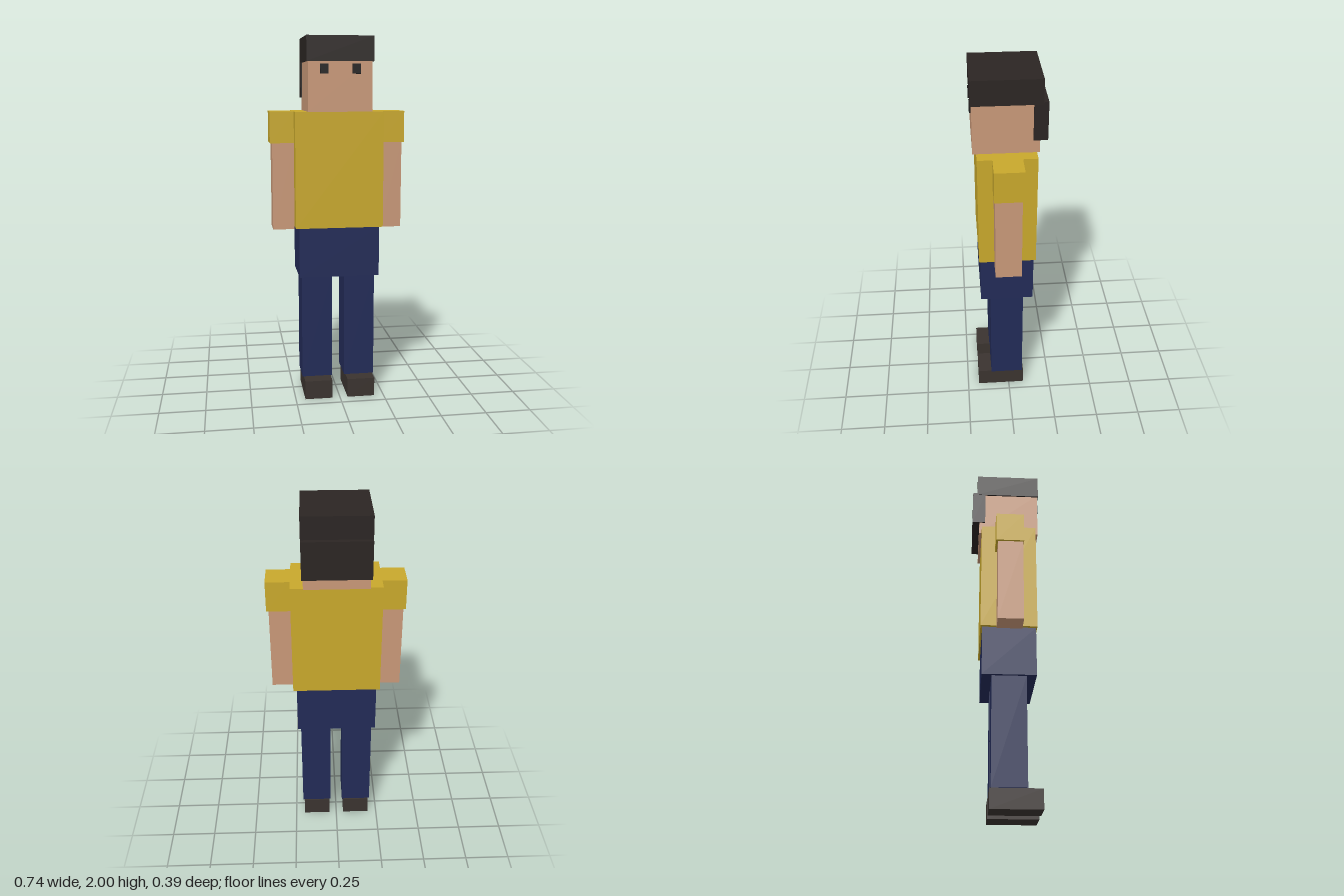
import * as THREE from 'three';

const material = (color) => new THREE.MeshStandardMaterial({ color });

export function createModel() {
  const model = new THREE.Group();
  model.name = 'blockFigure';

  const skin = material(0xc89878);
  const shirt = material(0xc8a82c);
  const trousers = material(0x222b57);
  const hair = material(0x2b2523);
  const shoe = material(0x3a332f);
  const eye = material(0x1c1a1a);

  // Box given by its [min, max] extents along each axis
  function block(name, mat, [x0, x1], [y0, y1], [z0, z1]) {
    const mesh = new THREE.Mesh(new THREE.BoxGeometry(x1 - x0, y1 - y0, z1 - z0), mat);
    mesh.position.set((x0 + x1) / 2, (y0 + y1) / 2, (z0 + z1) / 2);
    mesh.name = name;
    model.add(mesh);
  }

  // The same box on the left (+x) and right (-x) sides
  function pair(name, mat, [x0, x1], y, z) {
    block('left' + name, mat, [x0, x1], y, z);
    block('right' + name, mat, [-x1, -x0], y, z);
  }

  // Head and hair
  block('head', skin, [-0.172, 0.172], [1.605, 1.88], [-0.157, 0.184]);
  block('hairTop', hair, [-0.18, 0.18], [1.868, 2], [-0.17, 0.19]);
  block('hairBack', hair, [-0.179, 0.179], [1.675, 1.88], [-0.196, -0.123]);
  pair('Eye', eye, [0.064, 0.108], [1.803, 1.856], [0.17, 0.193]);

  // Torso and hips
  block('torso', shirt, [-0.24, 0.24], [0.975, 1.605], [-0.143, 0.165]);
  block('hips', trousers, [-0.221, 0.221], [0.7, 0.975], [-0.133, 0.159]);

  // Arms with short sleeves
  pair('Sleeve', shirt, [0.24, 0.37], [1.435, 1.605], [-0.066, 0.088]);
  pair('Arm', skin, [0.24, 0.358], [0.96, 1.435], [-0.056, 0.083]);

  // Legs and shoes
  pair('Leg', trousers, [0.035, 0.205], [0.105, 0.7], [-0.08, 0.106]);
  pair('Shoe', shoe, [0.043, 0.197], [0, 0.105], [-0.088, 0.184]);

  return model;
}
